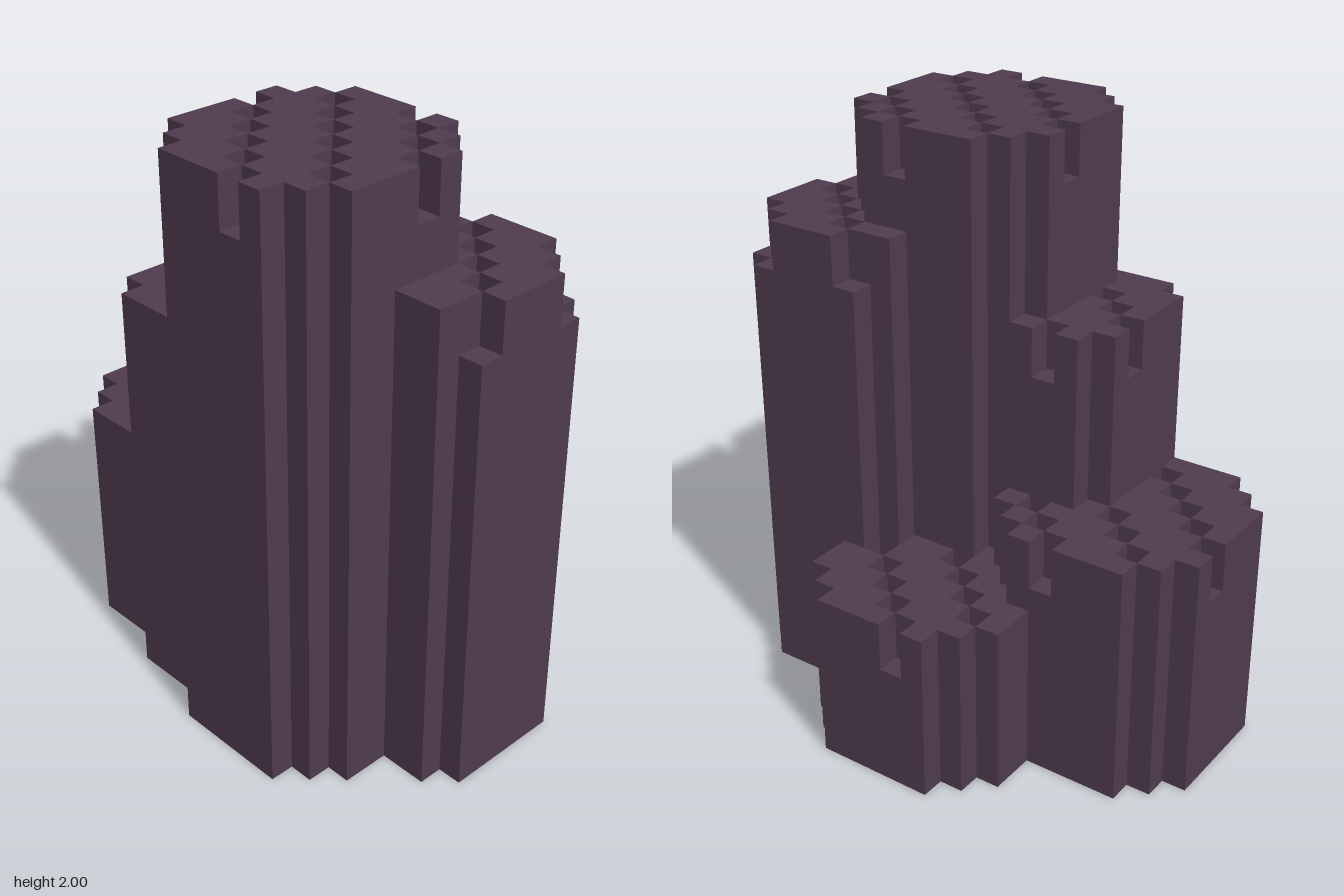
import * as THREE from 'three';

const CELL = 1 / 12, COLS = 20, ROWS = 15, NOTCH = 2;

// Rock columns on the cell grid: centre cell, radius, height, phase of the diagonal grooves
const COLUMNS = [
  { name: 'tallFrontColumn', col: 12, row: 10, radius: 4, height: 24, phase: 3 },
  { name: 'sideColumn', col: 16, row: 7, radius: 3, height: 20, phase: 2 },
  { name: 'middleColumn', col: 8, row: 10, radius: 3, height: 17, phase: 0 },
  { name: 'shortSideColumn', col: 4, row: 8, radius: 4, height: 10, phase: 1 },
  { name: 'lowBackColumn', col: 10, row: 4, radius: 4, height: 7, phase: 1 },
];

// Square with stepped corners
function inside(c, x, z) {
  const dx = Math.abs(x - c.col), dz = Math.abs(z - c.row);
  return dx <= c.radius && dz <= c.radius && dx + dz <= c.radius + 2;
}

// The tallest column covering a cell owns it
const ownerAt = (x, z) => COLUMNS.find((c) => inside(c, x, z));

// Height in cells, lowered along every fourth diagonal
function heightAt(x, z) {
  const c = ownerAt(x, z);
  if (!c) return 0;
  const groove = (x - z + 40) % 4 === c.phase;
  return c.height - (groove ? NOTCH : 0);
}

// Surface of one column: tops, undersides and the walls above lower neighbours
function columnGeometry(column) {
  const positions = [];
  const quad = (a, b, c, d) => {
    for (const [x, y, z] of [a, b, c, a, c, d]) {
      positions.push((x - COLS / 2) * CELL, y * CELL, (z - ROWS / 2) * CELL);
    }
  };
  for (let z = 0; z < ROWS; z++) {
    for (let x = 0; x < COLS; x++) {
      if (ownerAt(x, z) !== column) continue;
      const h = heightAt(x, z), X = x + 1, Z = z + 1;
      quad([x, h, Z], [X, h, Z], [X, h, z], [x, h, z]);
      quad([x, 0, z], [X, 0, z], [X, 0, Z], [x, 0, Z]);
      // Each wall runs left to right as seen from outside
      const walls = [
        [0, 1, x, Z, X, Z],
        [1, 0, X, Z, X, z],
        [0, -1, X, z, x, z],
        [-1, 0, x, z, x, Z],
      ];
      for (const [dx, dz, x0, z0, x1, z1] of walls) {
        const low = heightAt(x + dx, z + dz);
        if (low < h) quad([x0, low, z0], [x1, low, z1], [x1, h, z1], [x0, h, z0]);
      }
    }
  }
  const geometry = new THREE.BufferGeometry();
  geometry.setAttribute('position', new THREE.Float32BufferAttribute(positions, 3));
  geometry.computeVertexNormals();
  return geometry;
}

export function createModel() {
  const group = new THREE.Group();
  group.name = 'rockColumns';
  const rock = new THREE.MeshStandardMaterial({ color: 0x4f3b4e });
  rock.name = 'dark purple rock';
  for (const column of COLUMNS) {
    const mesh = new THREE.Mesh(columnGeometry(column), rock);
    mesh.name = column.name;
    group.add(mesh);
  }
  return group;
}
